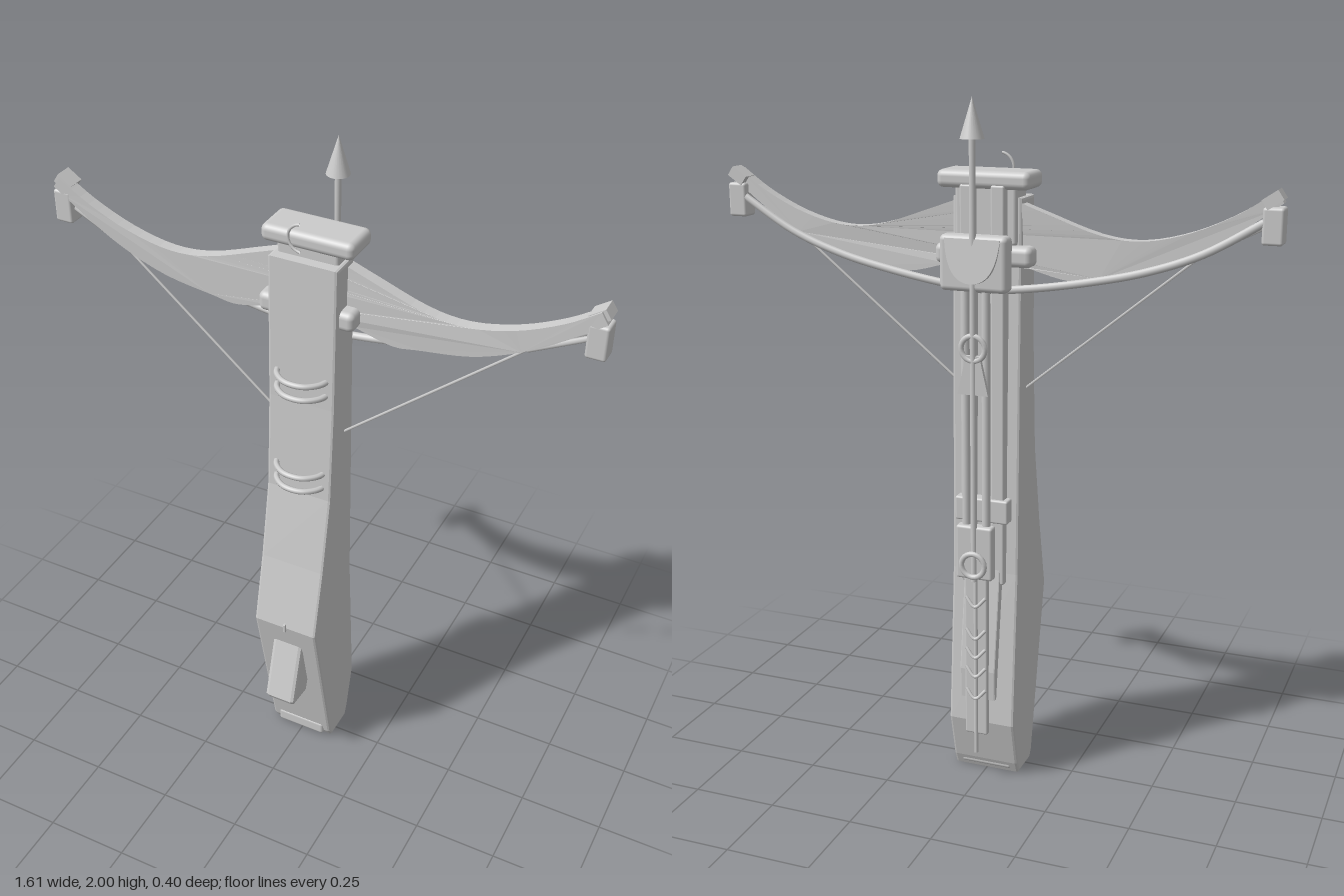
import * as THREE from 'three';
import { RoundedBoxGeometry } from 'three/addons/geometries/RoundedBoxGeometry.js';

const grey = new THREE.MeshStandardMaterial({ color: 0xcccccc, side: THREE.DoubleSide });
const V = (x, y, z) => new THREE.Vector3(x, y, z);

export function createModel() {
  const model = new THREE.Group();

  const add = (name, geometry, x = 0, y = 0, z = 0) => {
    const mesh = new THREE.Mesh(geometry, grey);
    mesh.name = name;
    mesh.position.set(x, y, z);
    model.add(mesh);
    return mesh;
  };
  // Rounded box given by its extents
  const block = (name, x0, x1, y0, y1, z0, z1, r = 0.01) =>
    add(name, new RoundedBoxGeometry(x1 - x0, y1 - y0, z1 - z0, 3, r),
      (x0 + x1) / 2, (y0 + y1) / 2, (z0 + z1) / 2);
  // Side profile of [z, y] points extruded across x
  const profile = (name, points, width, bevel) => {
    const shape = new THREE.Shape(points.map(([z, y]) => new THREE.Vector2(z, y)));
    const g = new THREE.ExtrudeGeometry(shape, {
      depth: width - 2 * bevel, bevelSize: bevel, bevelThickness: bevel,
      bevelOffset: -bevel, bevelSegments: 2,
    });
    g.translate(0, 0, bevel - width / 2).rotateY(-Math.PI / 2);
    return add(name, g);
  };
  const tube = (name, points, r, segments = 32) =>
    add(name, new THREE.TubeGeometry(new THREE.CatmullRomCurve3(points), segments, r, 8));
  const rod = (name, x, y0, y1, z, r) =>
    add(name, new THREE.CylinderGeometry(r, r, y1 - y0, 12), x, (y0 + y1) / 2, z);

  // Stock
  profile('stock', [
    [0.04, 1.73], [0.048, 1.3], [0.065, 1.0], [0.11, 0.76], [0.16, 0.545], [0.05, 0.03],
    [0.035, 0.005], [-0.065, 0.005], [-0.08, 0.04], [-0.115, 0.18], [-0.08, 0.65], [-0.065, 1.45], [-0.06, 1.73],
  ], 0.204, 0.008);
  block('buttPlate', -0.08, 0.08, 0.015, 0.06, -0.075, 0.058);
  profile('trigger', [[0.145, 0.468], [0.202, 0.28], [0.195, 0.266], [0.11, 0.257], [0.05, 0.45]], 0.1, 0.012);
  block('sightNotch', -0.004, 0.004, 0.53, 0.56, 0.14, 0.165, 0.002);

  // Nose, cap and limb clamp
  block('neck', -0.09, 0.09, 1.6, 1.77, -0.075, 0.01);
  block('cap', -0.135, 0.135, 1.753, 1.802, -0.1, 0.02, 0.018);
  block('limbClamp', -0.142, 0.142, 1.545, 1.602, -0.1, 0.027, 0.018);
  const hook = add('capHook', new THREE.TorusGeometry(0.04, 0.004, 8, 20, Math.PI * 0.9), 0, 1.8, 0.04);
  hook.rotation.z = Math.PI * 0.55;

  // Staples on the front of the stock
  for (const y of [1.388, 1.343, 1.085, 1.038]) {
    const z = y > 1.2 ? 0.04 : 0.05;
    tube('staple', [V(-0.076, y, z), V(-0.066, y, z + 0.024), V(-0.035, y, z + 0.05),
      V(0, y, z + 0.057), V(0.035, y, z + 0.05), V(0.066, y, z + 0.024), V(0.076, y, z)], 0.0085);
  }

  // Bow limbs: one symmetric blade, swept forward towards the tips
  const upper = [[0.1, 1.715], [0.17, 1.69], [0.32, 1.64], [0.44, 1.63], [0.57, 1.66], [0.69, 1.715], [0.78, 1.775]];
  const lower = [[0.8, 1.745], [0.63, 1.625], [0.47, 1.552], [0.31, 1.522], [0.23, 1.513], [0.12, 1.54]];
  const smooth = (pts) => new THREE.SplineCurve(pts.map((p) => new THREE.Vector2(...p))).getPoints(24);
  const half = [...smooth(upper), ...smooth(lower)];
  const outline = [...half, ...half.map((p) => new THREE.Vector2(-p.x, p.y)).reverse()];
  const sweep = (x) => 0.018 * (x / 0.8) ** 2;
  const limb = new THREE.ExtrudeGeometry(new THREE.Shape(outline), { depth: 0.035, bevelEnabled: false });
  const pos = limb.attributes.position;
  for (let i = 0; i < pos.count; i++) pos.setZ(i, pos.getZ(i) - 0.058 + sweep(pos.getX(i)));
  limb.computeVertexNormals();
  add('bowLimbs', limb);

  // Reinforcing rod behind the limbs
  const arc = [[0.78, 1.71], [0.6, 1.605], [0.45, 1.55], [0.3, 1.515], [0.12, 1.485]];
  const rodPoint = (s, [x, y]) => V(s * x, y, -0.066 + sweep(x));
  tube('limbRod', [...arc.map((p) => rodPoint(-1, p)), V(0, 1.475, -0.068),
    ...arc.map((p) => rodPoint(1, p)).reverse()], 0.011, 64);

  for (const s of [-1, 1]) {
    block('limbTip', s * 0.778 - 0.028, s * 0.778 + 0.028, 1.638, 1.735, -0.062, -0.006, 0.008);
    add('limbEnd', new THREE.BoxGeometry(0.05, 0.03, 0.05), s * 0.775, 1.755, -0.038).rotation.z = s * 0.6;
    add('bowstring', new THREE.TubeGeometry(
      new THREE.LineCurve3(V(s * 0.6, 1.605, -0.03), V(s * 0.095, 1.19, -0.018)), 1, 0.004, 6));
    add('stringEnd', new THREE.TubeGeometry(
      new THREE.LineCurve3(V(s * 0.77, 1.69, -0.03), V(s * 0.6, 1.605, -0.03)), 1, 0.008, 6));
    // Guide rails on the back of the stock
    block('guideRail', s * 0.045 - 0.02, s * 0.045 + 0.02, 0.62, 1.765, -0.102, -0.05, 0.006);
    // Paired rods of the rear slide
    rod('slideRod', s * 0.03, 0.75, 1.52, -0.147, 0.012);
  }

  // Rear slide with its blocks and lever
  block('slideHead', -0.098, 0.098, 1.485, 1.638, -0.172, -0.118, 0.015);
  block('slideBridge', -0.06, 0.06, 1.52, 1.6, -0.125, -0.09, 0.005);
  block('slideBlock', -0.055, 0.055, 0.655, 0.815, -0.17, -0.135, 0.008);
  block('railBlock', -0.08, 0.08, 0.81, 0.88, -0.112, -0.07, 0.006);
  block('slidePlate', -0.035, 0.035, 0.16, 0.7, -0.155, -0.135, 0.006);
  profile('lever', [[-0.075, 0.67], [-0.1, 0.68], [-0.145, 0.36], [-0.143, 0.27], [-0.13, 0.27]], 0.11, 0.004);

  // Half-round wedge on the slide head, thicker towards its lower edge
  const lip = new THREE.Shape();
  lip.moveTo(-0.08, 0.07);
  lip.lineTo(0.08, 0.07);
  lip.quadraticCurveTo(0.07, -0.05, 0, -0.05);
  lip.quadraticCurveTo(-0.07, -0.05, -0.08, 0.07);
  const lipGeo = new THREE.ExtrudeGeometry(lip, { depth: 0.012, bevelEnabled: false });
  add('headLip', lipGeo, 0, 1.56, -0.182).rotation.x = 0.12;

  // Rings with their tabs
  add('upperRing', new THREE.TorusGeometry(0.035, 0.008, 8, 24), 0, 1.33, -0.168);
  const tab = new THREE.Shape([[-0.02, 1.31], [-0.045, 1.2], [0.045, 1.2], [0.02, 1.31]]
    .map((p) => new THREE.Vector2(...p)));
  add('ringTab', new THREE.ExtrudeGeometry(tab, { depth: 0.012, bevelEnabled: false }), 0, 0, -0.172);
  add('lowerRing', new THREE.TorusGeometry(0.035, 0.008, 8, 24), 0, 0.7, -0.176);

  // Small curved catches down the plate
  for (const y of [0.58, 0.48, 0.42, 0.36, 0.29]) {
    tube('catch', [V(-0.03, y + 0.015, -0.155), V(0, y - 0.012, -0.163), V(0.03, y + 0.015, -0.155)], 0.005, 12);
  }

  // Bolt
  rod('boltShaft', 0, 0.65, 1.9, -0.167, 0.009);
  rod('boltTail', 0, 0.1, 0.66, -0.155, 0.006);
  add('boltHead', new THREE.ConeGeometry(0.033, 0.108, 24), 0, 1.946, -0.167);

  return model;
}
